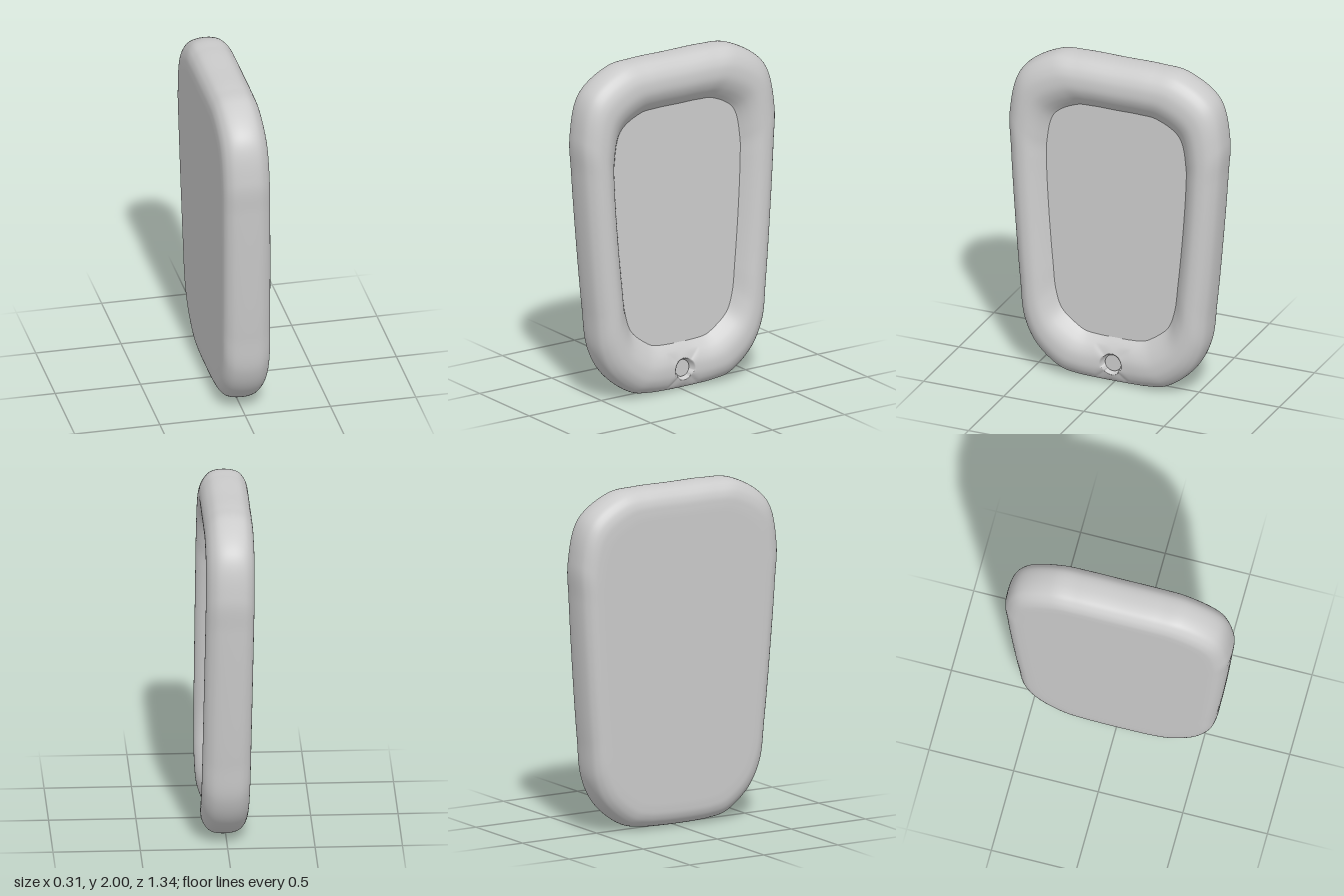
import * as THREE from 'three';

const grey = () => new THREE.MeshStandardMaterial({ color: 0xcccccc });

// Half outlines as [z, y], from bottom centre up to top centre
const OUTER = [[0, 0.005], [0.12, 0.007], [0.22, 0.013], [0.33, 0.035], [0.48, 0.155], [0.56, 0.31],
  [0.59, 0.55], [0.625, 0.95], [0.655, 1.38], [0.664, 1.6], [0.6, 1.85], [0.4, 1.983], [0.24, 2], [0, 2]];
const INNER = [[0, 0.28], [0.1, 0.281], [0.18, 0.29], [0.23, 0.315], [0.33, 0.4], [0.37, 0.51],
  [0.39, 0.68], [0.418, 1.0], [0.435, 1.3], [0.434, 1.43], [0.39, 1.61], [0.25, 1.695], [0.15, 1.705], [0, 1.705]];
// Rim section as [blend from outer to inner outline, x], back to front
const SECTION = [[0.7, -0.142], [0.45, -0.141], [0.28, -0.135], [0.14, -0.115], [0.04, -0.08], [0, -0.03],
  [0, 0.025], [0.03, 0.065], [0.13, 0.103], [0.28, 0.129], [0.44, 0.137], [0.6, 0.132], [0.76, 0.11],
  [0.89, 0.079], [1, 0.045]];
const AROUND = 312, ACROSS = 84, SCREEN_X = 0.045;
const HOLE_Y = 0.13, HOLE_R = 0.057, HOLE_X = 0.055;

const tilt = (x, y) => x - 0.017 * (y - 1);

// Closed symmetric loop, sampled per control point so both outlines stay paired
function loop(half) {
  const mirrored = half.slice(1, -1).reverse().map(([z, y]) => [-z, y]);
  const points = [...half, ...mirrored].map(([z, y]) => new THREE.Vector3(0, y, z));
  const curve = new THREE.CatmullRomCurve3(points, true, 'centripetal');
  return Array.from({ length: AROUND }, (_, i) => curve.getPoint(i / AROUND));
}

// Surface from columns of points, closed around the loop
function loft(columns, name) {
  const pos = [], index = [], n = AROUND;
  columns.forEach(col => col.forEach(p => pos.push(p.x, p.y, p.z)));
  for (let j = 0; j < columns.length - 1; j++) {
    for (let i = 0; i < n; i++) {
      const a = j * n + i, b = j * n + (i + 1) % n;
      index.push(a, a + n, b, b, a + n, b + n);
    }
  }
  const geo = new THREE.BufferGeometry();
  geo.setAttribute('position', new THREE.Float32BufferAttribute(pos, 3));
  geo.setIndex(index);
  geo.computeVertexNormals();
  const mesh = new THREE.Mesh(geo, grey());
  mesh.name = name;
  return mesh;
}

// Dips the rim around the button and sinks a round hole into it
function shapeRim(p) {
  if (p.x > SCREEN_X && p.y < 0.6) {
    const low = 1 - THREE.MathUtils.smoothstep(p.y, 0.28, 0.6);
    p.x -= 0.4 * (p.x - SCREEN_X) * Math.exp(-((p.z / 0.2) ** 2)) * low;
    const dy = p.y - HOLE_Y, q = Math.max(Math.abs(p.z), Math.abs(dy)), r = Math.hypot(p.z, dy);
    if (r > 1e-6 && q < 0.11) {
      const w = 1 - THREE.MathUtils.smoothstep(q, HOLE_R + 0.012, 0.11);
      const k = THREE.MathUtils.lerp(1, q / r, w);
      p.z *= k;
      p.y = HOLE_Y + dy * k;
      if (q < HOLE_R) p.x = HOLE_X;
    }
  }
  p.x = tilt(p.x, p.y);
  return p;
}

export function createModel() {
  const group = new THREE.Group();
  group.name = 'handheldPanel';
  const outer = loop(OUTER), inner = loop(INNER);

  // Padded rim with its flat back
  const section = new THREE.CatmullRomCurve3(SECTION.map(([t, x]) => new THREE.Vector3(t, x, 0)), false, 'centripetal');
  const columns = [outer.map(() => new THREE.Vector3(tilt(-0.142, 1), 1, 0))];
  for (let j = 0; j <= ACROSS; j++) {
    const s = section.getPoint(j / ACROSS);
    columns.push(outer.map((o, i) => {
      const p = o.clone().lerp(inner[i], s.x);
      p.x = s.y;
      return shapeRim(p);
    }));
  }
  group.add(loft(columns, 'casing'));

  // Sunken screen
  const edge = inner.map(p => new THREE.Vector3(tilt(SCREEN_X, p.y), p.y, p.z));
  const centre = inner.map(() => new THREE.Vector3(tilt(SCREEN_X, 1), 1, 0));
  group.add(loft([edge, centre], 'screen'));

  // Round button at the bottom of its hole
  const button = new THREE.Mesh(new THREE.CylinderGeometry(0.05, 0.05, 0.02, 40), grey());
  button.name = 'button';
  button.rotation.z = -Math.PI / 2;
  button.position.set(tilt(HOLE_X + 0.004, HOLE_Y), HOLE_Y, 0);
  group.add(button);

  return group;
}
